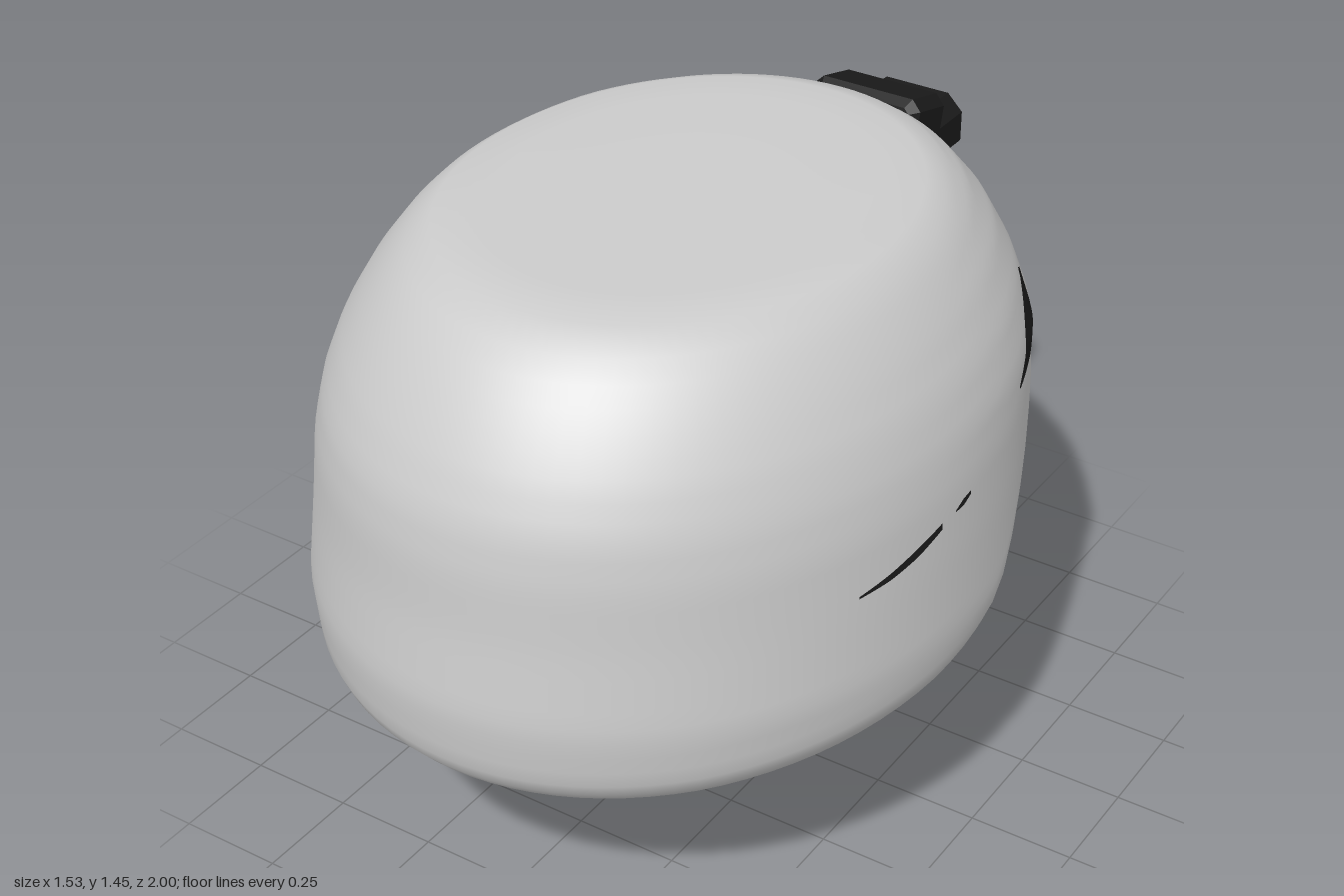
import * as THREE from 'three';

const grey = new THREE.MeshStandardMaterial({ color: 0xcccccc });
const dark = new THREE.MeshStandardMaterial({ color: 0x1a1a1a });
const darkThin = new THREE.MeshStandardMaterial({ color: 0x1a1a1a, side: THREE.DoubleSide });

// Horizontal outlines of the shell: y, half width, z at the brow, z at the nape
const OUTLINES = [
  [0.42, 0.745, -0.8, 0.97], [0.55, 0.76, -0.8, 0.99], [0.66, 0.766, -0.8, 1.0], [0.85, 0.752, -0.8, 0.975],
  [1.0, 0.738, -0.81, 0.965], [1.1, 0.72, -0.82, 0.945], [1.2, 0.684, -0.78, 0.9], [1.3, 0.628, -0.725, 0.835],
  [1.38, 0.568, -0.655, 0.765], [1.42, 0.525, -0.595, 0.71], [1.44, 0.49, -0.53, 0.67],
];
// Height of the lower rim along the side: z, y
const RIM = [
  [-0.8, 1.085], [-0.62, 1.07], [-0.45, 0.94], [-0.33, 0.87], [-0.12, 0.63], [-0.05, 0.555],
  [0, 0.538], [0.2, 0.505], [0.5, 0.472], [0.75, 0.448], [1, 0.433],
];

// Linear look-up in a table sorted by its first column
function lookUp(table, k) {
  const t = THREE.MathUtils.clamp(k, table[0][0], table[table.length - 1][0]);
  let i = 0;
  while (i < table.length - 2 && t > table[i + 1][0]) i++;
  const [a, b] = [table[i], table[i + 1]];
  const f = (t - a[0]) / (b[0] - a[0]);
  return a.map((v, j) => v + (b[j] - v) * f);
}

function shellPoint(angle, y, inset = 0, scale = 1) {
  const [, half, brow, nape] = lookUp(OUTLINES, y);
  return [
    Math.cos(angle) * (half - inset) * scale,
    y,
    (brow + nape) / 2 + Math.sin(angle) * ((nape - brow) / 2 - inset) * scale,
  ];
}

function rimHeight(angle) {
  let y = 0.8;
  for (let i = 0; i < 12; i++) y = lookUp(RIM, shellPoint(angle, y)[2])[1];
  return y;
}

// One closed skin: crown, outer wall, rolled lip, inner wall, inner crown
function shellGeometry() {
  const AROUND = 96, WALL = 24;
  const columns = [];
  for (let i = 0; i < AROUND; i++) {
    const a = (i / AROUND) * Math.PI * 2;
    const rim = rimHeight(a);
    const lip = 1 + 0.9 * THREE.MathUtils.smoothstep(Math.sin(a), 0, 1); // wider at the nape
    const col = [];
    for (const s of [0, 0.4, 0.8]) col.push(shellPoint(a, 1.44, 0, s).map((v, k) => (k === 1 ? 1.445 : v)));
    for (let j = 0; j <= WALL; j++) col.push(shellPoint(a, THREE.MathUtils.lerp(1.44, rim + 0.09, j / WALL)));
    for (const [up, inset] of [[0.06, 0.004], [0.03, 0.015], [0.01, 0.035], [0, 0.06], [0.005, 0.085], [0.03, 0.1]])
      col.push(shellPoint(a, rim + up, inset * lip));
    for (let j = 1; j <= 12; j++)
      col.push(shellPoint(a, THREE.MathUtils.lerp(rim + 0.03, 1.34, j / 12), THREE.MathUtils.lerp(0.1 * lip, 0.12, Math.min(1, j / 5))));
    for (const s of [0.85, 0.4, 0]) col.push(shellPoint(a, 1.36, 0.12, s));
    columns.push(col);
  }
  const rows = columns[0].length;
  const index = [];
  for (let i = 0; i < AROUND; i++) {
    const n = ((i + 1) % AROUND) * rows;
    for (let j = 0; j < rows - 1; j++) {
      const a = i * rows + j, b = n + j;
      index.push(a, b, a + 1, b, b + 1, a + 1);
    }
  }
  const g = new THREE.BufferGeometry();
  g.setAttribute('position', new THREE.Float32BufferAttribute(columns.flat(2), 3));
  g.setIndex(index);
  g.computeVertexNormals();
  return g;
}

// Thin sliver lying on the side wall; stations are z, lower y, upper y
function sliverGeometry(stations, side) {
  const g = new THREE.PlaneGeometry(1, 1, 16, 6);
  const p = g.attributes.position;
  const z0 = stations[0][0], z1 = stations[stations.length - 1][0];
  for (let i = 0; i < p.count; i++) {
    const [z, low, high] = lookUp(stations, z0 + (z1 - z0) * (p.getX(i) + 0.5));
    const y = low + (high - low) * (p.getY(i) + 0.5);
    const [, half, brow, nape] = lookUp(OUTLINES, y);
    const s = (z - (brow + nape) / 2) / ((nape - brow) / 2);
    p.setXYZ(i, side * (half * Math.sqrt(1 - s * s) + 0.006), y, z);
  }
  g.computeVertexNormals();
  return g;
}

// Block with every edge cut off at an angle
function chamferBox(w, h, d, c) {
  const [x, y] = [w / 2, h / 2];
  const outline = [[x, c - y], [x, y - c], [x - c, y], [c - x, y], [-x, y - c], [-x, c - y], [c - x, -y], [x - c, -y]];
  const shape = new THREE.Shape(outline.map(([u, v]) => new THREE.Vector2(u, v)));
  const b = c * 0.8;
  return new THREE.ExtrudeGeometry(shape, {
    depth: d - 2 * b, bevelThickness: b, bevelSize: b, bevelOffset: -b, bevelSegments: 1,
  }).translate(0, 0, b - d / 2);
}

// Webbing made of straight pieces between points
function strap(name, points, side, width) {
  const group = new THREE.Group();
  group.name = name;
  const pts = points.map(([x, y, z]) => new THREE.Vector3(x * side, y, z));
  for (let i = 0; i < pts.length - 1; i++) {
    const length = pts[i].distanceTo(pts[i + 1]) + width * 0.5;
    const piece = new THREE.Mesh(new THREE.BoxGeometry(width, width, length), dark);
    piece.position.copy(pts[i]).lerp(pts[i + 1], 0.5);
    piece.lookAt(pts[i + 1]);
    piece.name = name + 'Piece';
    group.add(piece);
  }
  return group;
}

export function createModel() {
  const model = new THREE.Group();
  model.name = 'helmet';
  const add = (name, geometry, material, x = 0, y = 0, z = 0) => {
    const mesh = new THREE.Mesh(geometry, material);
    mesh.name = name;
    mesh.position.set(x, y, z);
    model.add(mesh);
    return mesh;
  };

  add('shell', shellGeometry(), grey);

  // Mount on the brow with the lamp ahead of it
  add('browMount', chamferBox(0.29, 0.22, 0.16, 0.025), dark, 0, 1.245, -0.755).rotation.x = -0.25;
  add('lamp', chamferBox(0.25, 0.155, 0.2, 0.04), dark, 0, 1.2, -0.9);

  // Fittings that repeat on both sides
  const frontRail = [[-0.42, 1.13, 1.2], [-0.41, 1.11, 1.21], [-0.31, 1.07, 1.145], [-0.25, 1.062, 1.1], [-0.18, 1.052, 1.06]];
  const rearRail = [[0.22, 0.932, 0.946], [0.3, 0.905, 0.925], [0.38, 0.887, 0.902], [0.46, 0.878, 0.883]];
  const railTip = [[0.11, 0.962, 0.97], [0.14, 0.95, 0.965], [0.17, 0.948, 0.952]];
  for (const side of [1, -1]) {
    add('frontRail', sliverGeometry(frontRail, side), darkThin);
    add('rearRail', sliverGeometry(rearRail, side), darkThin);
    add('railTip', sliverGeometry(railTip, side), darkThin);
    model.add(strap('chinStrap', [[0.59, 0.62, -0.1], [0.5, 0.48, -0.14], [0.32, 0.165, -0.37], [0.06, 0.06, -0.48]], side, 0.034));
    model.add(strap('napeStrap', [[0.42, 0.475, 0.44], [0.15, 0.438, 0.55]], side, 0.03));
  }

  // Ear pad with its rear and loose straps, on one side only
  add('earPad', new THREE.SphereGeometry(0.125, 24, 16), dark, -0.52, 0.655, 0).scale.x = 0.8;
  model.add(strap('rearStrap', [[0.55, 0.58, -0.02], [0.42, 0.475, 0.44]], -1, 0.03));
  model.add(strap('looseStrap', [[0.56, 0.62, -0.1], [0.43, 0.54, -0.3], [0.22, 0.41, -0.6]], -1, 0.03));

  add('chinBuckle', chamferBox(0.225, 0.13, 0.09, 0.045), dark, 0, 0.065, -0.495);

  return model;
}
